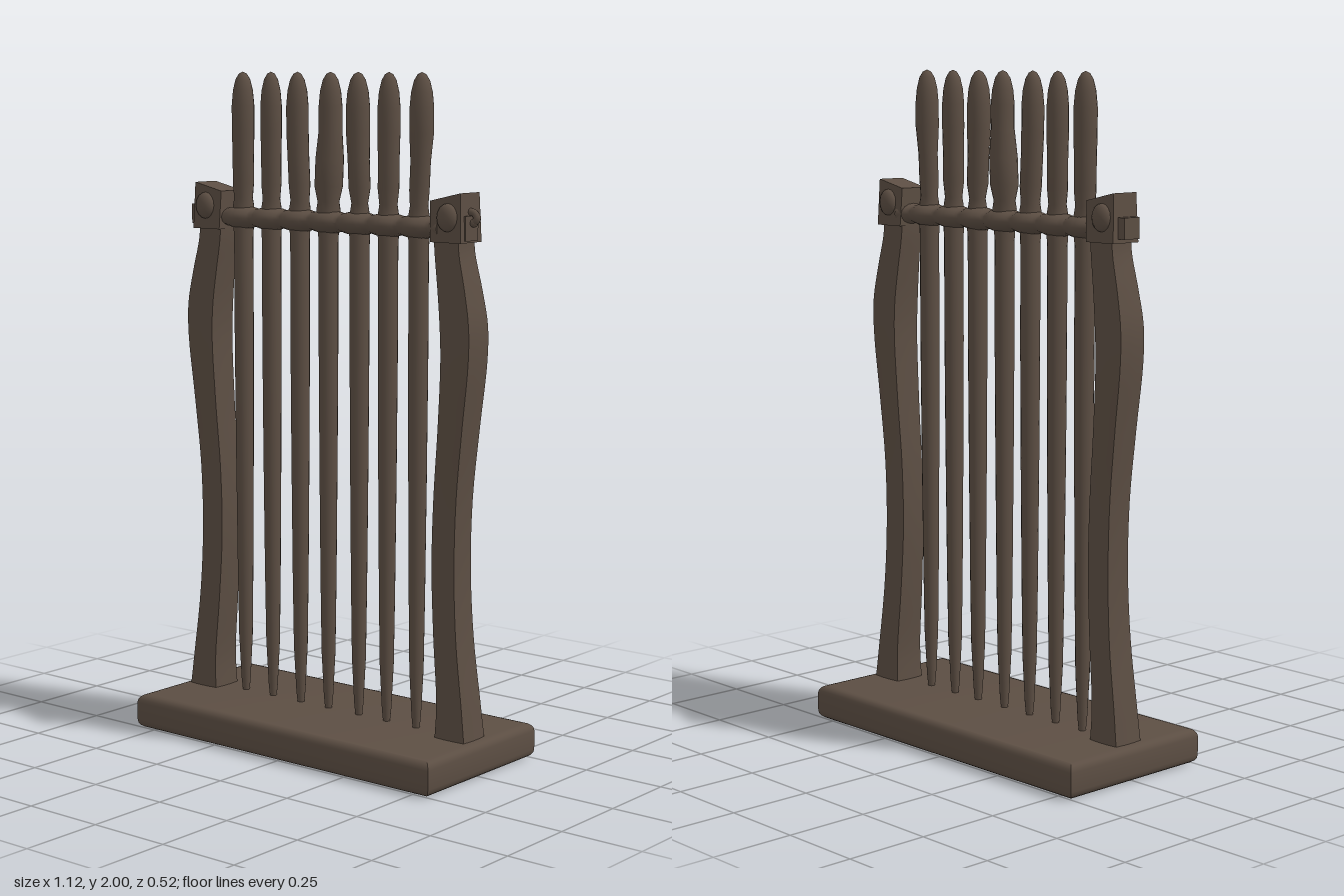
import * as THREE from 'three';
import { toCreasedNormals } from 'three/addons/utils/BufferGeometryUtils.js';

const wood = new THREE.MeshStandardMaterial({ color: 0x5c4e43 });
wood.name = 'dark wood';

function add(parent, name, geometry) {
  const mesh = new THREE.Mesh(geometry, wood);
  mesh.name = name;
  parent.add(mesh);
  return mesh;
}

// Move every vertex by a rule, then refresh the normals
function warp(geometry, rule) {
  const p = geometry.attributes.position;
  const v = new THREE.Vector3();
  for (let i = 0; i < p.count; i++) {
    v.fromBufferAttribute(p, i);
    rule(v);
    p.setXYZ(i, v.x, v.y, v.z);
  }
  geometry.computeVertexNormals();
  return geometry;
}

// Slab with softened edges and square corners
function baseGeometry() {
  const b = 0.025, x = 0.56 - b, z = 0.26 - b;
  const s = new THREE.Shape([[-x, -z], [x, -z], [x, z], [-x, z]].map(p => new THREE.Vector2(...p)));
  const g = new THREE.ExtrudeGeometry(s, { depth: 0.055, bevelThickness: 0.025, bevelSize: b, bevelSegments: 4 });
  g.rotateX(-Math.PI / 2).translate(0, 0.025, 0);
  return toCreasedNormals(g, 0.7);
}

// Wavy square post: rows of height, inner x, outer x, half depth
const postRows = [
  [0.08, 0.42, 0.535, 0.054], [0.2, 0.425, 0.52, 0.05], [0.4, 0.41, 0.495, 0.046],
  [0.6, 0.4, 0.485, 0.043], [0.8, 0.405, 0.49, 0.043], [1.0, 0.42, 0.51, 0.046],
  [1.2, 0.43, 0.533, 0.049], [1.3, 0.426, 0.533, 0.049], [1.4, 0.415, 0.515, 0.045],
  [1.5, 0.402, 0.492, 0.041], [1.56, 0.398, 0.488, 0.041],
];
const edgeCurve = new THREE.CatmullRomCurve3(postRows.map(r => new THREE.Vector3(r[1], r[0], r[2])));
const depthCurve = new THREE.CatmullRomCurve3(postRows.map(r => new THREE.Vector3(0, r[0], r[3])));

function postGeometry(side) {
  return warp(new THREE.BoxGeometry(1, 1, 1, 3, 50, 3), v => {
    const t = THREE.MathUtils.clamp(v.y + 0.5, 0, 1);
    const e = edgeCurve.getPoint(t), d = depthCurve.getPoint(t);
    const mid = (e.x + e.z) / 2, width = e.z - e.x;
    // Outer corners are pulled in a little
    const k = Math.abs(v.x) > 0.4 && Math.abs(v.z) > 0.4 ? 0.94 : 1;
    v.set(side * mid + v.x * width * k, e.y, v.z * 2 * d.z * k);
  });
}

// Head block with a slanted top and a slight outward lean
function blockGeometry(side) {
  return warp(new THREE.BoxGeometry(0.105, 1, 0.1), v => {
    const out = v.x * side / 0.0525;
    const top = v.y > 0;
    v.y = top ? 1.657 + out * 0.012 : 1.53;
    v.x += side * (top ? 0.445 : 0.45);
    if (top) v.z *= 0.9;
  });
}

// Cross bar that swells around each stick
const pitch = 0.1105, firstX = -0.343;
function barGeometry() {
  const g = new THREE.CylinderGeometry(1, 1, 0.84, 16, 96).rotateZ(Math.PI / 2);
  return toCreasedNormals(warp(g, v => {
    const swell = Math.abs(Math.cos(Math.PI * (v.x - firstX) / pitch));
    v.y = 1.567 + v.y * (0.026 + 0.009 * swell);
    v.z *= 0.039 + 0.015 * swell;
  }), 0.9);
}

// Sticks: x, lean at the tip, neck radius, low and high head radii
const sticks = [
  [-0.343, 0, 0.029, 0.033, 0.035], [-0.232, 0, 0.027, 0.031, 0.033],
  [-0.121, -0.009, 0.029, 0.033, 0.034], [-0.012, 0.008, 0.033, 0.043, 0.036],
  [0.105, -0.007, 0.025, 0.033, 0.036], [0.21, 0.001, 0.027, 0.032, 0.034],
  [0.32, 0.008, 0.027, 0.03, 0.036],
];

function stickGeometry([x, lean, neck, low, high]) {
  const profile = [
    [0.009, 0.09], [0.014, 0.14], [0.021, 0.28], [0.024, 0.5], [0.027, 0.85], [0.029, 1.2],
    [0.029, 1.5], [0.032, 1.57], [neck + 0.004, 1.6], [neck, 1.625], [low, 1.67], [low, 1.75],
    [high, 1.83], [high, 1.9], [high * 0.88, 1.945], [high * 0.65, 1.977], [high * 0.35, 1.994], [0, 2],
  ].map(p => new THREE.Vector2(...p));
  return warp(new THREE.LatheGeometry(profile, 16), v => {
    // Heads are a touch flatter front to back
    if (v.y > 1.6) v.z *= 0.93;
    v.x += x + lean * THREE.MathUtils.smoothstep(v.y, 1.62, 1.85);
  });
}

export function createModel() {
  const model = new THREE.Group();
  model.name = 'stickRack';

  add(model, 'base', baseGeometry());
  add(model, 'crossBar', barGeometry());
  sticks.forEach((s, i) => add(model, 'stick' + (i + 1), stickGeometry(s)));

  for (const side of [-1, 1]) {
    const label = side > 0 ? 'left' : 'right';
    add(model, label + 'Post', postGeometry(side));
    add(model, label + 'HeadBlock', blockGeometry(side));
    // Rounded bosses on the front and back of the block
    for (const face of [-1, 1]) {
      const boss = add(model, label + 'Boss', new THREE.SphereGeometry(1, 12, 8));
      boss.scale.set(0.034, 0.04, 0.022);
      boss.position.set(side * 0.455, 1.6, face * 0.047);
    }
  }

  // Plain peg on one end, hooked peg on the other
  const peg = add(model, 'rightPeg', new THREE.BoxGeometry(0.04, 0.06, 0.06));
  peg.position.set(-0.506, 1.572, 0);

  const hookPath = new THREE.CatmullRomCurve3([
    [0.47, 1.6, 0], [0.495, 1.615, 0], [0.515, 1.612, 0], [0.523, 1.597, 0], [0.512, 1.585, 0],
  ].map(p => new THREE.Vector3(...p)));
  add(model, 'leftHook', new THREE.TubeGeometry(hookPath, 16, 0.011, 8));
  const knob = add(model, 'leftHookTip', new THREE.SphereGeometry(0.012, 10, 8));
  knob.position.set(0.512, 1.585, 0);
  const plate = add(model, 'leftHookPlate', new THREE.BoxGeometry(0.02, 0.07, 0.06));
  plate.position.set(0.495, 1.57, 0);

  return model;
}
